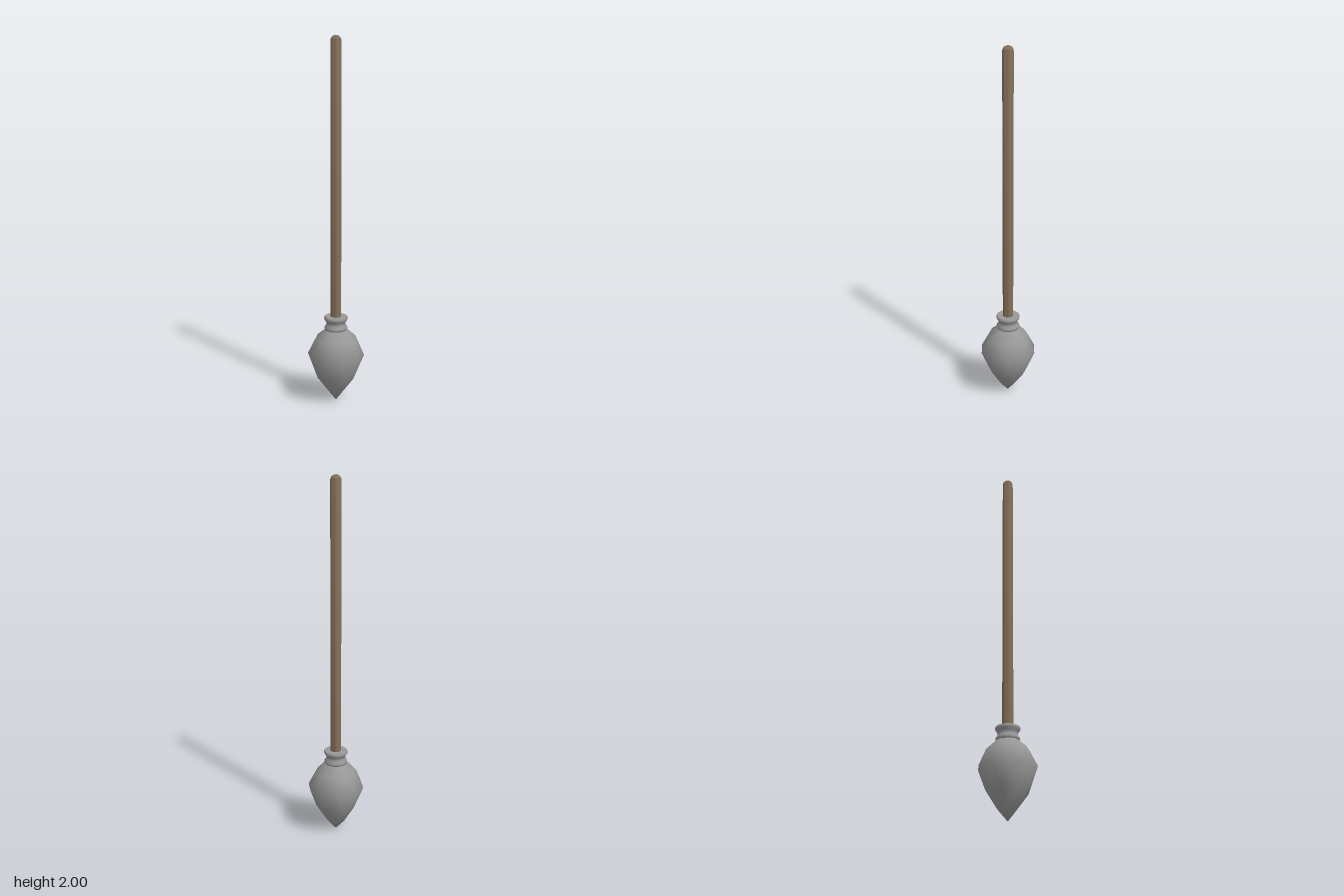
import * as THREE from 'three';
import { mergeVertices, toCreasedNormals } from 'three/addons/utils/BufferGeometryUtils.js';

const wood = new THREE.MeshStandardMaterial({ color: 0x836f5a });
wood.name = 'brown wood';
const bristle = new THREE.MeshStandardMaterial({ color: 0x989898 });
bristle.name = 'grey';

// Lathe from [radius, height] pairs, listed bottom to top
function lathe(points, sides) {
  return new THREE.LatheGeometry(points.map(([r, y]) => new THREE.Vector2(r, y)), sides);
}

// Teardrop head: a pole-up icosphere whose rings are moved to a new profile
function headGeometry() {
  let geo = new THREE.IcosahedronGeometry(1, 1);
  geo.rotateX(-Math.atan((1 + Math.sqrt(5)) / 2));
  geo.rotateY(Math.PI / 2);
  // [sphere height, radius, new height]
  const rings = [
    [1, 0, 0.46], [0.851, 0.045, 0.43], [0.526, 0.11, 0.37], [0.447, 0.116, 0.356],
    [0, 0.156, 0.27],
    [-0.447, 0.112, 0.155], [-0.526, 0.104, 0.138], [-0.851, 0.051, 0.058], [-1, 0, 0],
  ];
  const pos = geo.attributes.position;
  for (let i = 0; i < pos.count; i++) {
    const x = pos.getX(i), y = pos.getY(i), z = pos.getZ(i);
    const ring = rings.reduce((a, b) => (Math.abs(b[0] - y) < Math.abs(a[0] - y) ? b : a));
    const k = ring[1] / Math.max(Math.hypot(x, z), 1e-4);
    pos.setXYZ(i, x * k, ring[2], z * k);
  }
  // share corners so the shading is smooth
  geo.deleteAttribute('normal');
  geo.deleteAttribute('uv');
  geo = mergeVertices(geo, 1e-4);
  geo.computeVertexNormals();
  return geo;
}

export function createModel() {
  const model = new THREE.Group();
  const add = (name, geometry, material) => {
    const mesh = new THREE.Mesh(geometry, material);
    mesh.name = name;
    model.add(mesh);
  };

  // Long round handle with a domed end
  const handle = [[0, 0.4], [0.029, 0.4]];
  for (let i = 0; i <= 6; i++) {
    const a = (i / 6) * Math.PI / 2;
    handle.push([0.029 * Math.cos(a), 1.971 + 0.029 * Math.sin(a)]);
  }
  add('handle', toCreasedNormals(lathe(handle, 20), 0.8), wood);

  // Waisted collar with two rounded rims
  const collar = [
    [0, 0.408], [0.05, 0.408], [0.061, 0.414], [0.064, 0.425], [0.056, 0.437], [0.051, 0.448],
    [0.055, 0.459], [0.064, 0.472], [0.066, 0.481], [0.062, 0.488], [0, 0.488],
  ];
  add('collar', toCreasedNormals(lathe(collar, 20), 0.9), bristle);

  add('head', headGeometry(), bristle);
  return model;
}
